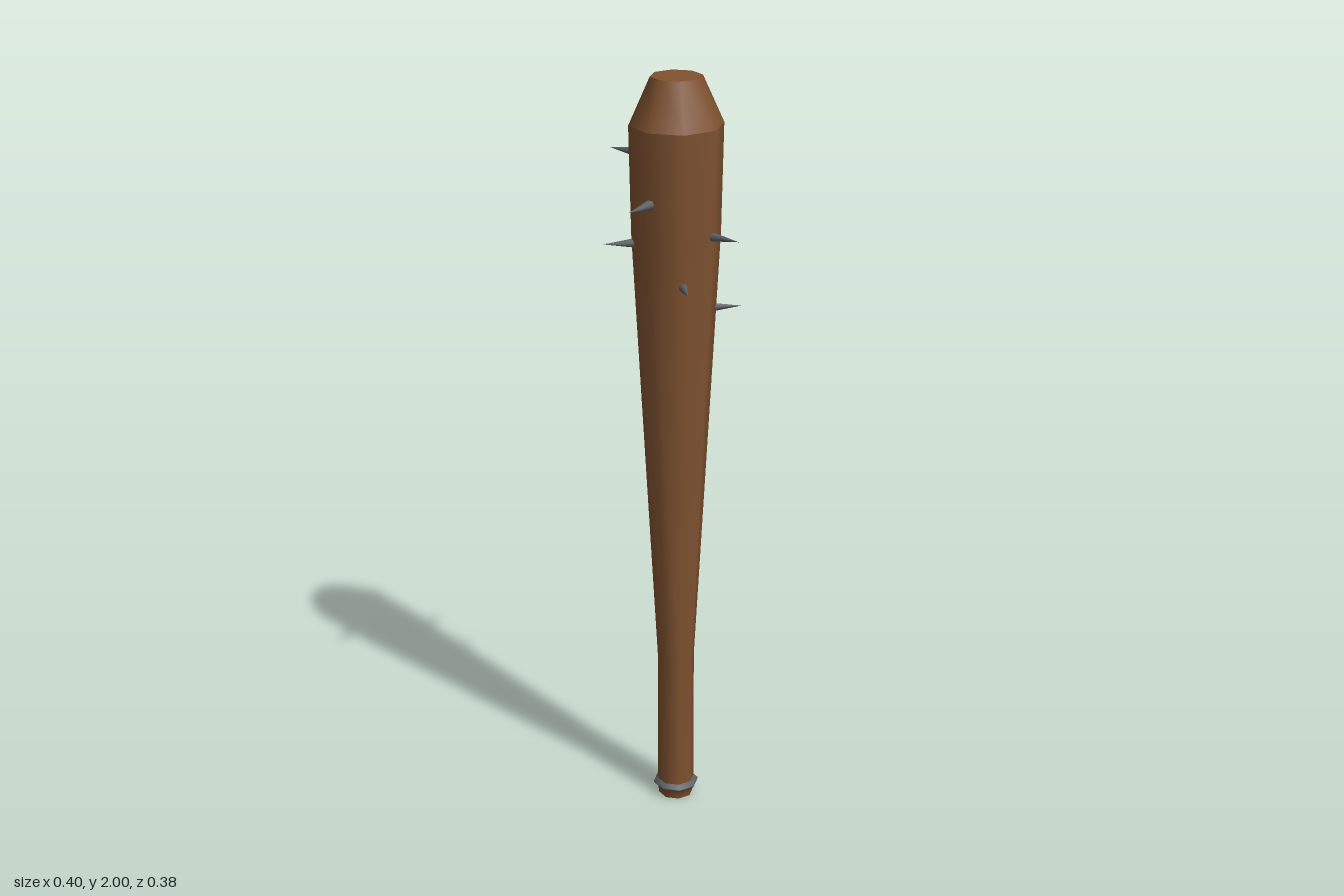
import * as THREE from 'three';

const wood = new THREE.MeshStandardMaterial({ color: 0x7f5230 });
wood.name = 'brown wood';
const steel = new THREE.MeshStandardMaterial({ color: 0x5c5f64 });
steel.name = 'grey steel';

const SIDES = 8;

// Eight-sided turned piece from [radius, height] pairs, bottom to top
function turned(name, profile, material) {
  const points = profile.map(([r, y]) => new THREE.Vector2(r, y));
  const mesh = new THREE.Mesh(new THREE.LatheGeometry(points, SIDES), material);
  mesh.name = name;
  return mesh;
}

export function createModel() {
  const group = new THREE.Group();
  group.name = 'spikedClub';

  // Everything sits around the club axis, slightly off the origin
  const club = new THREE.Group();
  club.name = 'club';
  club.position.set(0.007, 0, -0.01);
  group.add(club);

  // Shaft, bevelled head and flat ends
  club.add(turned('shaft', [[0.049, 0.03], [0.049, 0.42], [0.114, 1.6], [0.12, 1.88]], wood));
  club.add(turned('headBevel', [[0.12, 1.88], [0.066, 2]], wood));
  club.add(turned('headTop', [[0.066, 2], [0, 2]], wood));
  club.add(turned('pommel', [[0.046, 0], [0.049, 0.02], [0.06, 0.031]], wood));
  club.add(turned('pommelBottom', [[0, 0], [0.046, 0]], wood));

  // Metal band above the pommel
  club.add(turned('gripBand', [[0.06, 0.031], [0.061, 0.036], [0.049, 0.045]], steel));

  // Spikes, one per corner of the octagon: [eighth turn from +z towards +x, height]
  const spikes = [
    [0, 1.7], [1, 1.49], [2, 1.61], [3, 1.4],
    [4, 1.52], [5, 1.67], [6, 1.79], [7, 1.58],
  ];
  for (const [step, y] of spikes) {
    const tip = 0.168 + 0.1 * (y - 1.4);
    const base = tip - 0.092;
    const geometry = new THREE.ConeGeometry(0.014, tip - base, 8);
    geometry.rotateX(Math.PI / 2);
    geometry.translate(0, 0, (tip + base) / 2);
    const spike = new THREE.Mesh(geometry, steel);
    spike.name = 'spike';
    spike.position.y = y;
    spike.rotation.y = step * Math.PI / 4;
    club.add(spike);
  }
  return group;
}
